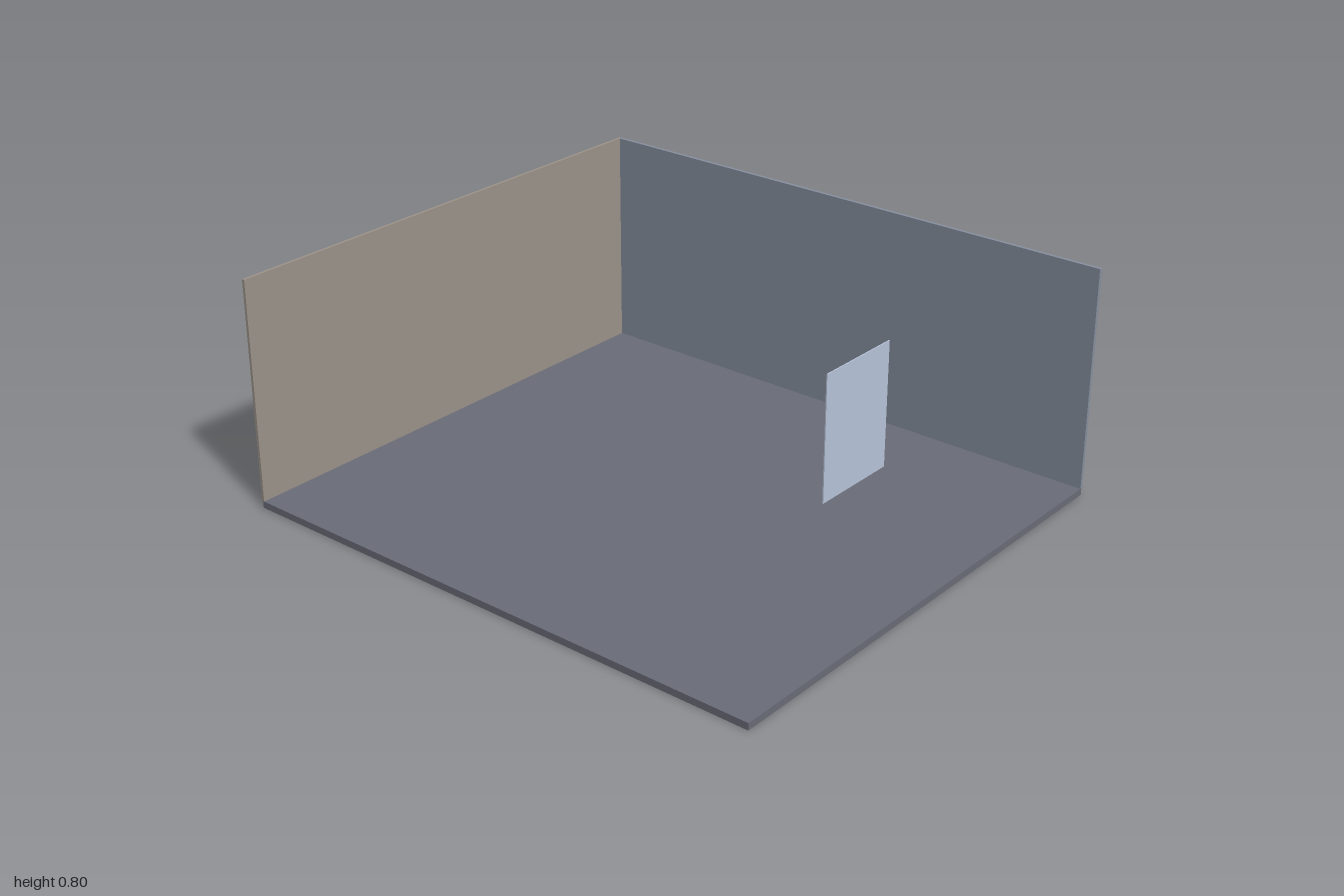
import * as THREE from 'three';

export function createModel() {
  const model = new THREE.Group();
  model.name = 'openRoom';

  const material = (name, color) => {
    const m = new THREE.MeshStandardMaterial({ color });
    m.name = name;
    return m;
  };
  const floorGrey = material('floorGrey', 0x6a6c78);
  const wallBlueGrey = material('wallBlueGrey', 0x8890a0);
  const wallTaupe = material('wallTaupe', 0x9d948a);
  const paneBlue = material('paneBlue', 0xbac6dc);

  // Box given by its lower and upper corners
  const slab = (name, mat, [x0, y0, z0], [x1, y1, z1]) => {
    const mesh = new THREE.Mesh(new THREE.BoxGeometry(x1 - x0, y1 - y0, z1 - z0), mat);
    mesh.position.set((x0 + x1) / 2, (y0 + y1) / 2, (z0 + z1) / 2);
    mesh.name = name;
    model.add(mesh);
  };

  const floorTop = 0.024, wallTop = 0.8;

  // Floor slab; the walls straddle its edges slightly
  slab('floor', floorGrey, [-0.995, 0, -0.884], [1, floorTop, 0.89]);
  slab('backWall', wallBlueGrey, [-0.995, floorTop, -0.89], [1, wallTop, -0.878]);
  slab('sideWall', wallTaupe, [-1, floorTop, -0.884], [-0.99, wallTop, 0.89]);

  // Thin pane hanging above the floor
  slab('windowPane', paneBlue, [0.552, 0.157, -0.383], [0.556, 0.6, -0.053]);

  return model;
}
